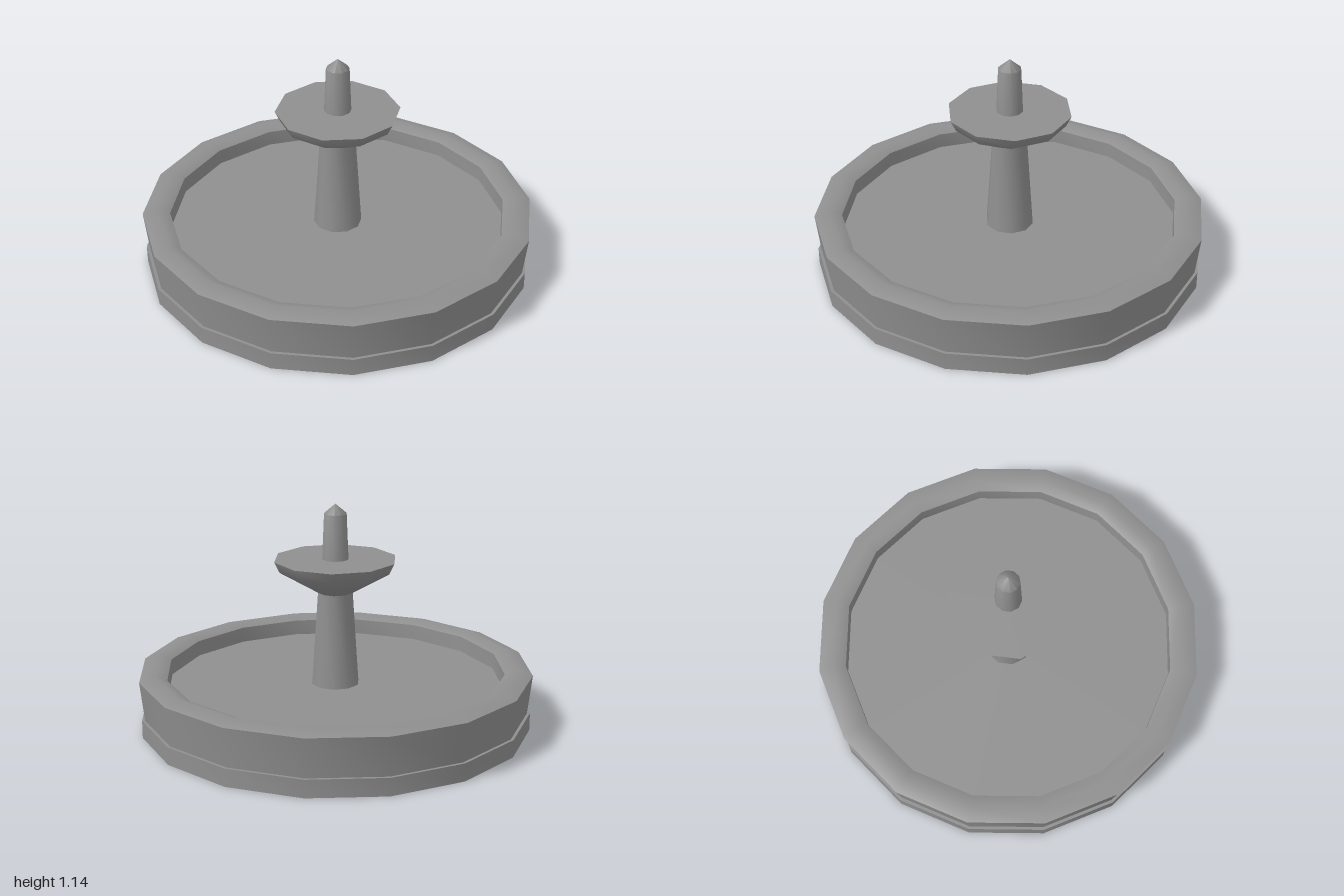
import * as THREE from 'three';
import { toCreasedNormals } from 'three/addons/utils/BufferGeometryUtils.js';

const stone = new THREE.MeshStandardMaterial({ color: 0x8f8f8f });
stone.name = 'grey stone';

// Turned part from [radius, height] pairs, bottom to top, with a corner on the x axis
function turned(name, sides, profile) {
  const points = profile.map(([r, y]) => new THREE.Vector2(r, y));
  const lathe = new THREE.LatheGeometry(points, sides, Math.PI / 2);
  const mesh = new THREE.Mesh(toCreasedNormals(lathe, 0.95), stone);
  mesh.name = name;
  return mesh;
}

export function createModel() {
  const group = new THREE.Group();
  group.name = 'fountain';

  group.add(
    // Low plinth under the basin
    turned('plinth', 16, [[0, 0], [0.993, 0], [0.993, 0.09], [0, 0.09]]),
    // Flared basin wall, bevelled rim and the flat water level inside
    turned('basin', 16, [
      [0.978, 0.09], [1, 0.29], [0.92, 0.315], [0.86, 0.29], [0.857, 0.21], [0, 0.21],
    ]),
    // Tapered column rising from the basin
    turned('column', 10, [[0.123, 0.2], [0.09, 0.69]]),
    // Upper bowl with a closed flat top
    turned('upperBowl', 10, [[0, 0.69], [0.09, 0.69], [0.285, 0.805], [0.312, 0.86], [0, 0.86]]),
    // Pointed finial
    turned('finial', 10, [[0.068, 0.855], [0.058, 1.09], [0, 1.14]]),
  );
  return group;
}
